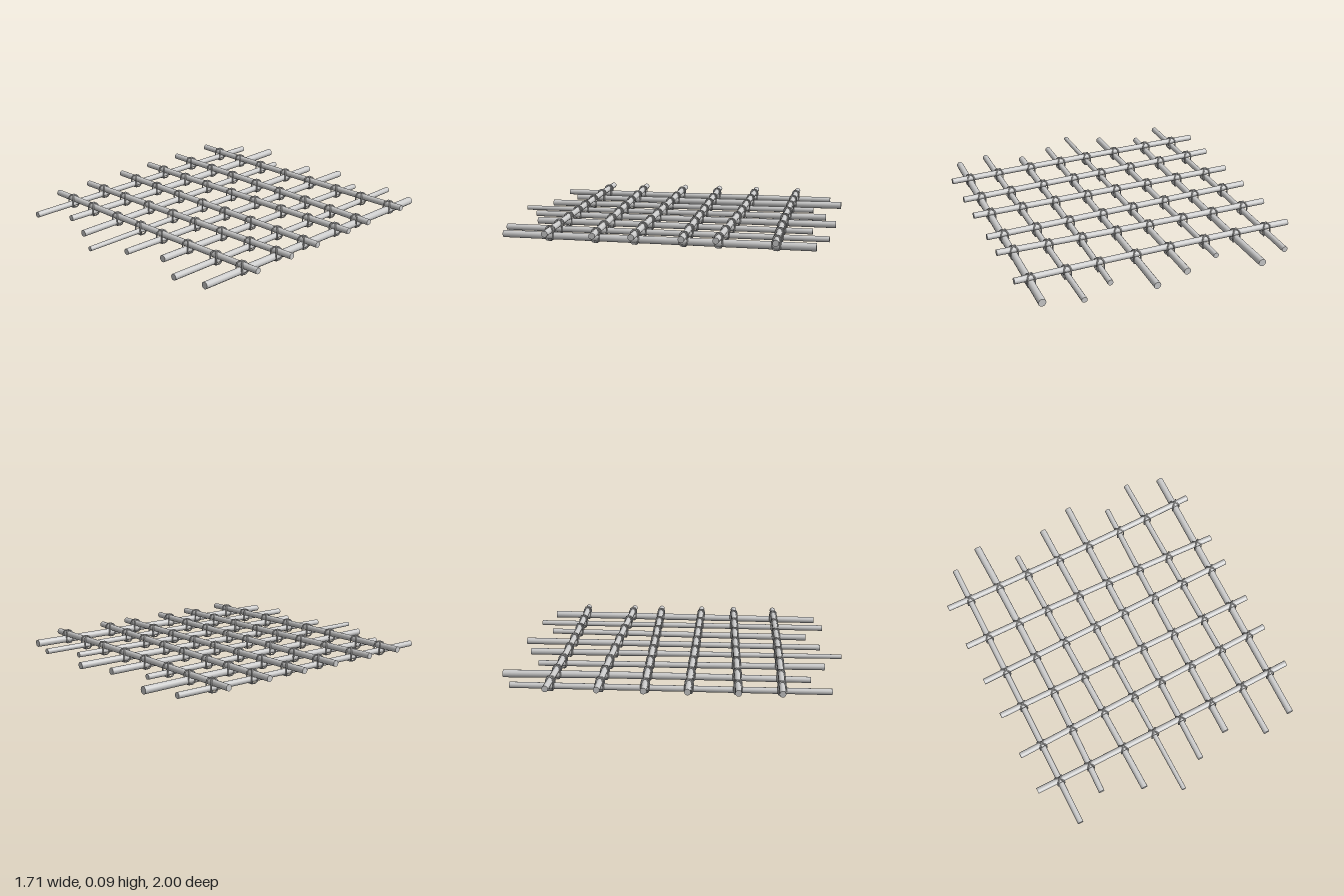
import * as THREE from 'three';

const material = new THREE.MeshStandardMaterial({ color: 0xcccccc });
const POLE_Y = 0.031, RAIL_Y = 0.063, RAIL_R = 0.0185, RAIL_HALF = 0.857;

// Lower poles, running back to front: [backX, midX, frontX, backZ, frontZ, backRadius, frontRadius]
const POLES = [
  [-0.71, -0.71, -0.71, -0.92, 0.9, 0.018, 0.018],
  [-0.517, -0.502, -0.516, -1, 0.79, 0.023, 0.018],
  [-0.312, -0.294, -0.277, -0.83, 0.885, 0.017, 0.02],
  [-0.086, -0.079, -0.071, -0.92, 1, 0.021, 0.014],
  [0.13, 0.12, 0.107, -0.99, 0.88, 0.021, 0.018],
  [0.357, 0.335, 0.322, -0.865, 0.8, 0.017, 0.021],
  [0.55, 0.548, 0.542, -0.97, 0.92, 0.017, 0.019],
  [0.768, 0.75, 0.733, -0.91, 0.875, 0.023, 0.021],
];
// Upper rails, running side to side: z at [x min, middle, x max]
const RAILS = [
  [-0.69, -0.682, -0.696],
  [-0.404, -0.396, -0.371],
  [-0.144, -0.162, -0.18],
  [0.099, 0.1, 0.1],
  [0.379, 0.35, 0.322],
  [0.62, 0.613, 0.594],
];

// Quadratic through three values at t = 0, 0.5, 1
const bow = (a, m, b, t) => a * (1 - t) * (1 - 2 * t) + 4 * m * t * (1 - t) + b * t * (2 * t - 1);

const poleX = (p, z) => bow(p[0], p[1], p[2], (z - p[3]) / (p[4] - p[3]));
const railZ = (r, x) => bow(r[0], r[1], r[2], (x + RAIL_HALF) / (2 * RAIL_HALF));

function addMesh(parent, geometry, name) {
  const mesh = new THREE.Mesh(geometry, material);
  mesh.name = name;
  parent.add(mesh);
  return mesh;
}

// Tapered pole along z, bowed sideways
function poleGeometry(p) {
  const g = new THREE.CylinderGeometry(p[6], p[5], p[4] - p[3], 12, 8);
  g.rotateX(Math.PI / 2).translate(0, POLE_Y, (p[3] + p[4]) / 2);
  const pos = g.attributes.position;
  for (let i = 0; i < pos.count; i++) pos.setX(i, pos.getX(i) + poleX(p, pos.getZ(i)));
  return g;
}

// Even rail along x, bowed front to back
function railGeometry(r) {
  const g = new THREE.CylinderGeometry(RAIL_R, RAIL_R, 2 * RAIL_HALF, 12, 8);
  g.rotateZ(-Math.PI / 2).translate(0, RAIL_Y, 0);
  const pos = g.attributes.position;
  for (let i = 0; i < pos.count; i++) pos.setZ(i, pos.getZ(i) + railZ(r, pos.getX(i)));
  return g;
}

// Rounded cord loop that wraps both sticks
function lashingGeometry() {
  const points = [];
  for (let i = 0; i < 16; i++) {
    const a = (i / 16) * Math.PI * 2, c = Math.cos(a), s = Math.sin(a);
    points.push(new THREE.Vector3(
      0.031 * Math.sign(c) * Math.abs(c) ** 0.7,
      0.041 * Math.sign(s) * Math.abs(s) ** 0.7, 0));
  }
  return new THREE.TubeGeometry(new THREE.CatmullRomCurve3(points, true), 24, 0.0045, 6, true);
}

export function createModel() {
  const model = new THREE.Group();
  model.name = 'lashedLattice';

  const poles = new THREE.Group();
  poles.name = 'lowerPoles';
  POLES.forEach((p, i) => addMesh(poles, poleGeometry(p), `pole${i + 1}`));

  const rails = new THREE.Group();
  rails.name = 'upperRails';
  RAILS.forEach((r, i) => addMesh(rails, railGeometry(r), `rail${i + 1}`));

  // Two crossed diagonal loops at every crossing
  const lashings = new THREE.Group();
  lashings.name = 'lashings';
  const loop = lashingGeometry();
  for (const p of POLES) {
    for (const r of RAILS) {
      let x = p[1];
      for (let k = 0; k < 3; k++) x = poleX(p, railZ(r, x));
      for (const side of [-1, 1]) {
        const cord = addMesh(lashings, loop, 'lashingCord');
        cord.position.set(x, 0.0455, railZ(r, x));
        cord.rotation.y = side * Math.PI / 4;
      }
    }
  }

  model.add(poles, rails, lashings);
  return model;
}
